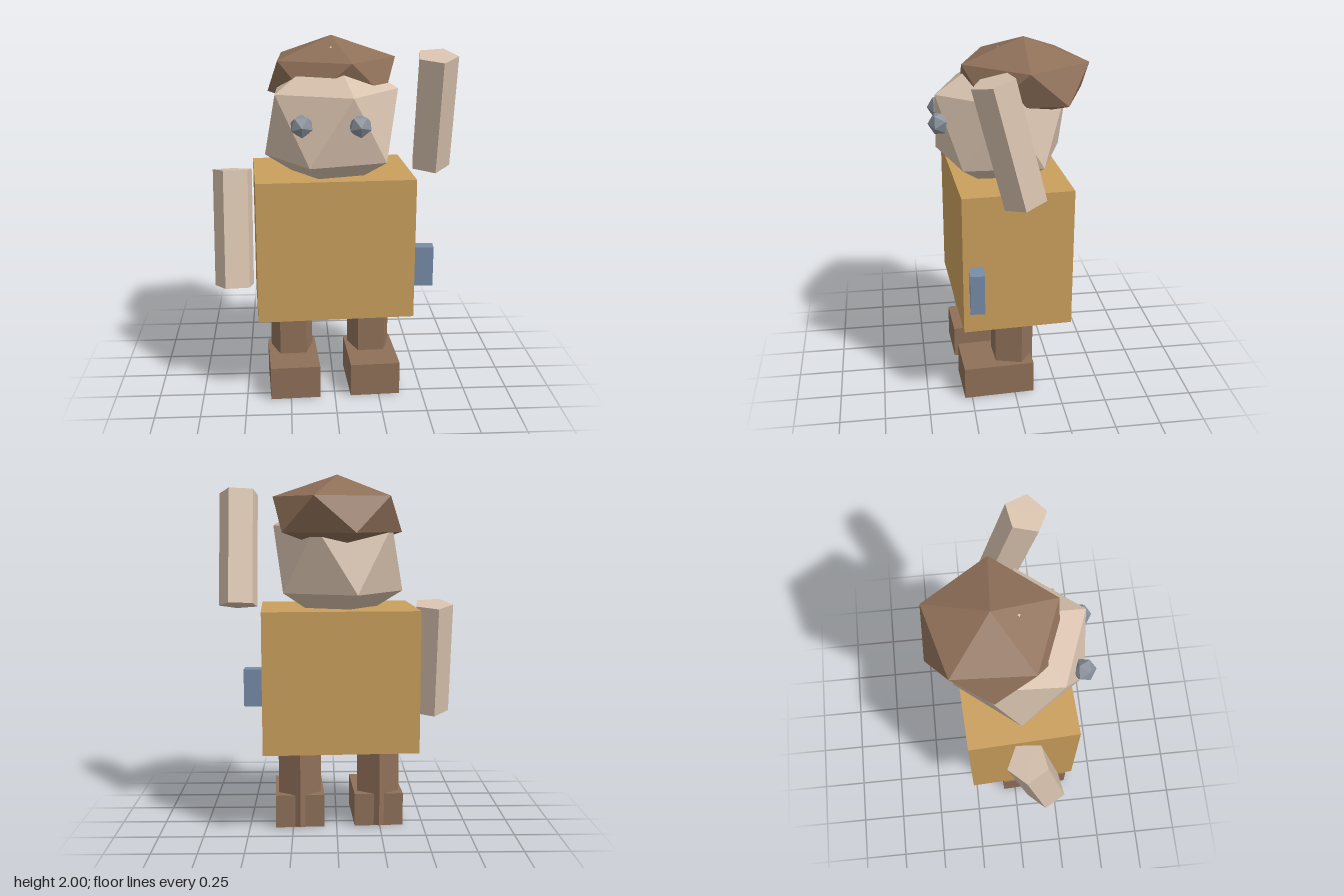
import * as THREE from 'three';

const paint = (name, color) => {
  const m = new THREE.MeshStandardMaterial({ color, flatShading: true });
  m.name = name;
  return m;
};

export function createModel() {
  const model = new THREE.Group();
  model.name = 'figure';

  const ochre = paint('ochre', 0xca9f5c);
  const brown = paint('brown', 0x8f7059);
  const skin = paint('skin', 0xd8c2ae);
  const blue = paint('blue', 0x788da9);
  const grey = paint('grey', 0x8a919b);
  const turn = 0.05; // slight turn of the whole body

  const add = (name, geometry, material, position, rotation = [0, turn, 0]) => {
    const mesh = new THREE.Mesh(geometry, material);
    mesh.name = name;
    mesh.position.set(...position);
    mesh.rotation.set(...rotation);
    model.add(mesh);
    return mesh;
  };

  // Icosahedron standing on a vertex, with one upper vertex facing +z
  const icosa = (radius) =>
    new THREE.IcosahedronGeometry(radius, 0).rotateX(-Math.atan((1 + Math.sqrt(5)) / 2));
  const prism = (radius, height) => new THREE.CylinderGeometry(radius, radius, height, 5);

  // Torso and side pouch
  add('torso', new THREE.BoxGeometry(0.865, 0.79, 0.602), ochre, [-0.008, 0.875, 0.016]);
  add('sidePouch', new THREE.BoxGeometry(0.14, 0.225, 0.077), blue, [0.478, 0.763, 0.225], [0, -0.06, 0]);

  // Legs and feet
  for (const [side, s] of [['left', 1], ['right', -1]]) {
    const x = -0.012 + s * 0.227;
    const shift = -s * 0.011;
    add(side + 'Leg', prism(0.128, 0.5), brown, [x, 0.255, 0.016 + shift], [0, Math.PI + turn, 0]);
    add(side + 'Foot', new THREE.BoxGeometry(0.28, 0.19, 0.4), brown, [x + 0.005, 0.095, 0.109 + shift]);
  }

  // Arms: right one hanging forward, left one raised
  add('rightArm', prism(0.115, 0.655), skin, [-0.555, 0.957, 0.103], [-0.184, Math.PI + 0.18, 0]);
  add('leftArm', prism(0.115, 0.65), skin, [0.552, 1.595, 0.06], [0.25, 0.18, 0]);

  // Head and flattened hair
  add('head', icosa(0.41), skin, [-0.01, 1.542, 0.042], [0, 0.275, 0]);
  add('hair', icosa(0.397), brown, [-0.003, 1.787, -0.09], [0, 0.265, 0]).scale.y = 0.537;

  // Eyes, each with a vertex pointing forward
  for (const [side, x, z] of [['left', 0.125, 0.375], ['right', -0.178, 0.362]]) {
    add(side + 'Eye', icosa(0.064), grey, [x, 1.58, z], [Math.PI / 2, turn, 0]);
  }

  return model;
}
